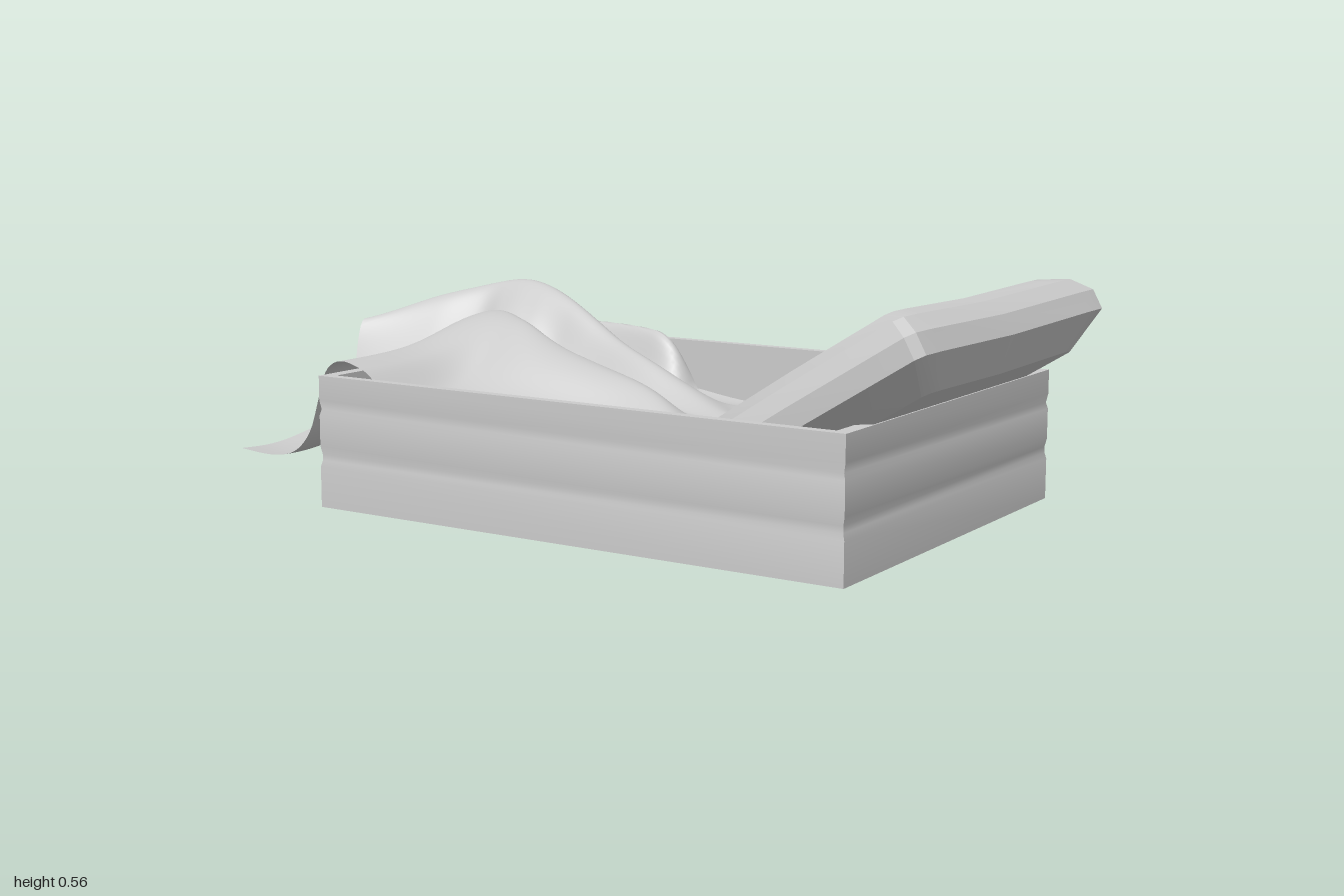
import * as THREE from 'three';
import { toCreasedNormals } from 'three/addons/utils/BufferGeometryUtils.js';

const grey = (opts = {}) => new THREE.MeshStandardMaterial({ color: 0xcccccc, ...opts });

// Smooth curve through [t, value] points (cubic Hermite)
function curve(pts) {
  const slope = i => {
    const a = pts[Math.max(i - 1, 0)], b = pts[Math.min(i + 1, pts.length - 1)];
    return (b[1] - a[1]) / (b[0] - a[0]);
  };
  return t => {
    const last = pts.length - 1;
    if (t <= pts[0][0]) return pts[0][1];
    if (t >= pts[last][0]) return pts[last][1];
    let i = 0;
    while (t > pts[i + 1][0]) i++;
    const h = pts[i + 1][0] - pts[i][0], s = (t - pts[i][0]) / h;
    const s2 = s * s, s3 = s2 * s;
    return (2 * s3 - 3 * s2 + 1) * pts[i][1] + (s3 - 2 * s2 + s) * h * slope(i)
      + (3 * s2 - 2 * s3) * pts[i + 1][1] + (s3 - s2) * h * slope(i + 1);
  };
}

// Open crate: one faintly ribbed wall profile swept round four sides, with a floor
function makeCrate() {
  const profile = [
    [0, 0], [1, 0], [1, 0.1], [0.994, 0.115], [0.994, 0.13], [1, 0.15],
    [1, 0.225], [0.994, 0.24], [1, 0.262], [1, 0.322],
    [0.952, 0.322], [0.952, 0.07], [0, 0.07],
  ].map(([r, y]) => new THREE.Vector2(r * Math.SQRT2, y));
  const geo = new THREE.LatheGeometry(profile, 4, Math.PI / 4);
  geo.scale(0.712, 1, 0.532);
  const mesh = new THREE.Mesh(toCreasedNormals(geo, 0.7), grey());
  mesh.position.x = 0.14;
  mesh.name = 'crate';
  return mesh;
}

// Bevelled cushion: stacked loops [height, half length, half width]
function makePillow() {
  const levels = [
    [0, 0, 0], [0, 0.262, 0.4], [-0.03, 0.308, 0.468], [-0.075, 0.333, 0.505],
    [-0.125, 0.33, 0.505], [-0.185, 0.25, 0.4], [-0.185, 0, 0],
  ];
  const c = 0.95; // corner chamfer
  const loop = [
    [0.93, 0], [1, 0.8], [1, c], [c, 1], [0, 1], [-c, 0.93], [-1.03, 0.88], [-1, 0],
    [-1.03, -0.88], [-c, -0.93], [0, -1], [c, -1], [1, -c], [1, -0.8],
  ];
  const n = loop.length, pos = [], index = [];
  for (const [h, u, w] of levels) {
    for (const [a, b] of loop) pos.push(a * u, h, b * w);
  }
  for (let i = 0; i < levels.length - 1; i++) {
    for (let j = 0; j < n; j++) {
      const a = i * n + j, b = i * n + (j + 1) % n;
      index.push(a, b, a + n, b, b + n, a + n);
    }
  }
  const geo = new THREE.BufferGeometry();
  geo.setAttribute('position', new THREE.Float32BufferAttribute(pos, 3));
  geo.setIndex(index);
  const mesh = new THREE.Mesh(toCreasedNormals(geo, 0.38), grey());
  mesh.position.set(0.655, 0.42, 0);
  mesh.rotation.z = 0.555;
  mesh.name = 'pillow';
  return mesh;
}

// Crumpled blanket: a sheet with three folds, spilling over the foot end
function makeBlanket() {
  // outline
  const backZ = curve([[-1, -0.51], [-0.57, -0.5], [-0.35, -0.44], [-0.1, -0.37], [0.32, -0.36]]);
  const frontZ = curve([[-1, 0.41], [-0.7, 0.44], [-0.25, 0.48], [0, 0.455], [0.2, 0.4]]);
  const footX = curve([[-0.51, -0.84], [-0.3, -0.93], [-0.13, -1], [0, -0.965], [0.41, -0.95]]);
  const headX = curve([[-0.36, 0.32], [-0.28, 0.32], [-0.04, 0.28], [0.13, 0.22], [0.4, 0.19]]);
  // resting height, then centre line and crest of each fold
  const base = curve([[-1, 0.085], [-0.78, 0.095], [-0.69, 0.16], [-0.62, 0.325], [-0.5, 0.335],
    [-0.38, 0.26], [0, 0.21], [0.32, 0.19]]);
  const z1 = curve([[-1, -0.13], [-0.8, -0.25], [-0.6, -0.32], [-0.3, -0.25], [0, -0.14], [0.28, -0.05]]);
  const y1 = curve([[-1, 0.37], [-0.8, 0.43], [-0.6, 0.48], [-0.45, 0.455], [-0.2, 0.35], [0, 0.28], [0.28, 0.21]]);
  const z2 = curve([[-1, 0.05], [-0.6, -0.12], [-0.28, 0], [0, 0.02], [0.22, 0.14]]);
  const y2 = curve([[-0.9, 0.1], [-0.8, 0.15], [-0.71, 0.25], [-0.6, 0.4], [-0.4, 0.41], [-0.2, 0.35],
    [0, 0.29], [0.22, 0.22]]);
  const z3 = curve([[-0.6, -0.44], [-0.35, -0.4], [-0.1, -0.35]]);
  const y3 = curve([[-0.65, 0.3], [-0.5, 0.36], [-0.2, 0.36], [-0.12, 0.32], [-0.05, 0.2]]);
  // fold widths
  const wide1 = curve([[-1, 0.08], [-0.8, 0.14], [-0.6, 0.1], [0.3, 0.06]]);
  const back1 = curve([[-1, 0.22], [-0.8, 0.17], [-0.6, 0.09], [0.3, 0.08]]);
  const wide2 = curve([[-1, 0.2], [-0.6, 0.22], [-0.3, 0.17], [0.22, 0.08]]);
  const bell = (d, w) => Math.exp(-(d * d) / (w * w));
  const lerp = THREE.MathUtils.lerp, step = THREE.MathUtils.smoothstep;

  const height = (x, z) => {
    // the back corner hangs closer to the crate
    const b = base(x - 0.06 * step(-z, 0.38, 0.5));
    const d1 = z - z1(x), d2 = z - z2(x);
    const f1 = Math.max(y1(x) - b, 0) * bell(d1, d1 > 0 ? wide1(x) : back1(x));
    const f2 = Math.max(y2(x) - b, 0) * bell(d2, d2 > 0 ? wide2(x) : 0.08);
    const f3 = Math.max(y3(x) - b, 0) * bell(z - z3(x), 0.045) * step(x, -0.65, -0.5);
    const raised = 0.1 * step(x, -0.1, 0.19) * step(z, 0.15, 0.4);
    const wrinkle = 0.008 * Math.sin(26 * z + 5 * x) * step(x, -0.4, 0)
      + 0.006 * Math.sin(15 * z - 7 * x) * (1 - step(x, -0.85, -0.6));
    return b + Math.cbrt(f1 ** 3 + f2 ** 3 + f3 ** 3) + raised + wrinkle;
  };

  const geo = new THREE.PlaneGeometry(1, 1, 110, 110);
  geo.rotateX(-Math.PI / 2);
  const p = geo.attributes.position;
  for (let i = 0; i < p.count; i++) {
    const u = p.getX(i) + 0.5, v = p.getZ(i) + 0.5;
    // the outline curves depend on each other, so settle them in a few passes
    let x = lerp(-0.95, 0.25, u), z = 0;
    for (let k = 0; k < 4; k++) {
      z = lerp(backZ(x), frontZ(x), v);
      x = lerp(footX(z), headX(z), u);
    }
    p.setXYZ(i, x, height(x, z), z);
  }
  geo.computeVertexNormals();
  const mesh = new THREE.Mesh(geo, grey({ side: THREE.DoubleSide }));
  mesh.name = 'blanket';
  return mesh;
}

export function createModel() {
  const group = new THREE.Group();
  group.name = 'crateBed';
  group.add(makeCrate(), makePillow(), makeBlanket());
  return group;
}
